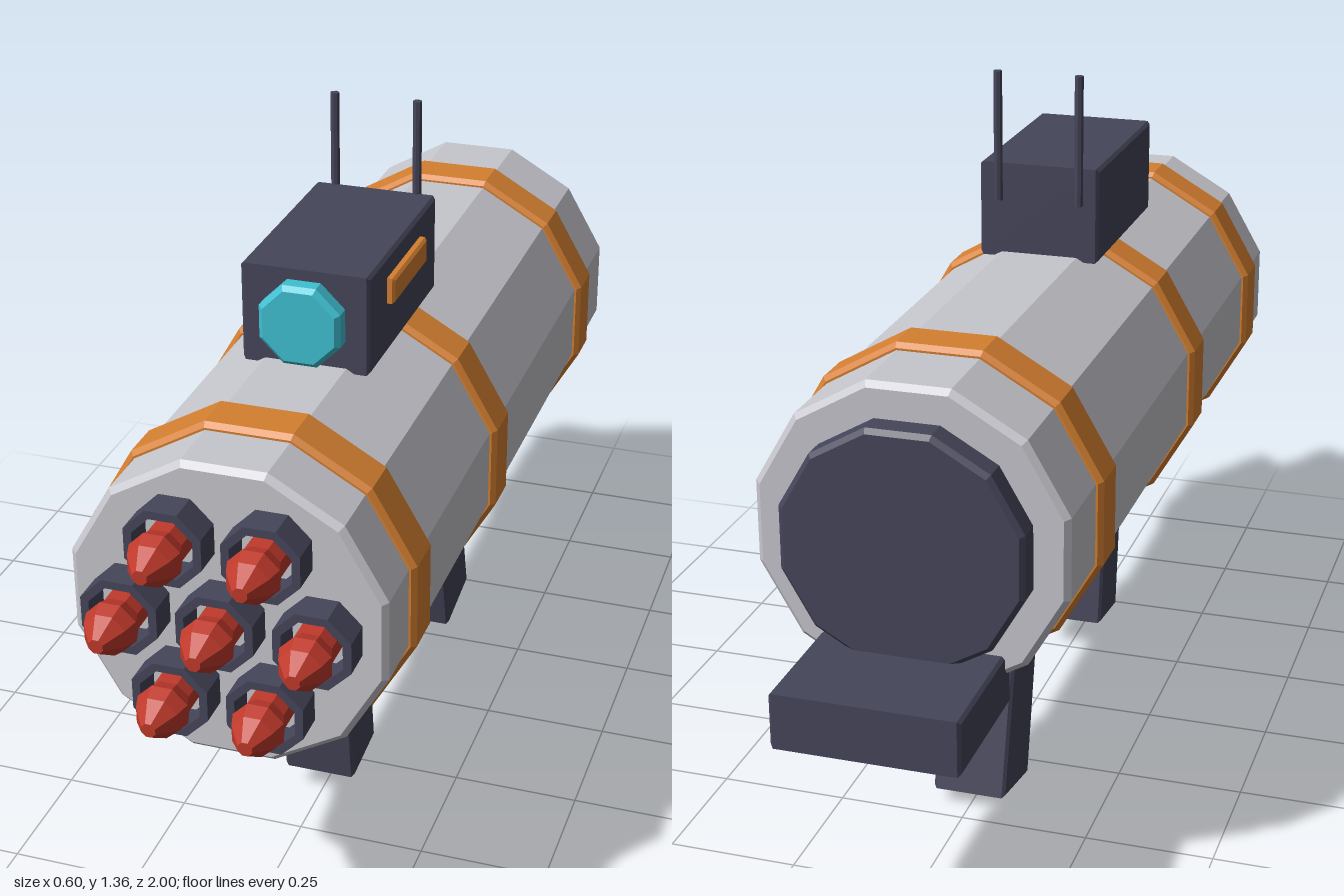
import * as THREE from 'three';

const mat = (name, color) => {
  const m = new THREE.MeshStandardMaterial({ color });
  m.name = name;
  return m;
};

export function createModel() {
  const grey = mat('light grey shell', 0xc6c6cd);
  const dark = mat('dark slate', 0x45455a);
  const orange = mat('orange trim', 0xd47f30);
  const red = mat('red warhead', 0xc0392b);
  const cyan = mat('cyan lens', 0x3fc0d2);

  const model = new THREE.Group();
  model.name = 'rocketLauncher';
  const AXIS = 0.705; // height of the barrel axis

  const add = (name, geometry, material, x = 0, y = 0, z = 0) => {
    const flat = geometry.index ? geometry.toNonIndexed() : geometry;
    flat.computeVertexNormals(); // faceted look
    const mesh = new THREE.Mesh(flat, material);
    mesh.name = name;
    mesh.position.set(x, y, z);
    model.add(mesh);
    return mesh;
  };

  // Faceted turning around z from [apothem, z] pairs, with a flat side on top
  const turned = (profile, sides) => {
    const k = 1 / Math.cos(Math.PI / sides);
    const points = profile.map(([r, z]) => new THREE.Vector2(r * k, z));
    return new THREE.LatheGeometry(points, sides, Math.PI / sides).rotateX(Math.PI / 2);
  };

  // Chamfered disc or drum between two z positions
  const drum = (r, z0, z1, c, sides) => turned(
    [[0, z0], [r - c, z0], [r, z0 + c], [r, z1 - c], [r - c, z1], [0, z1]], sides);

  // Side outline of [z, y] corners, extruded across x with a small chamfer
  const slab = (corners, width, c = 0.006) => {
    const shape = new THREE.Shape(corners.map(([z, y]) => new THREE.Vector2(z, y)));
    const geometry = new THREE.ExtrudeGeometry(shape, {
      depth: width - 2 * c, bevelEnabled: true, bevelSegments: 1,
      bevelSize: c, bevelThickness: c, bevelOffset: -c,
    });
    return geometry.translate(0, 0, c - width / 2).rotateY(-Math.PI / 2);
  };
  const block = (z0, z1, y0, y1, width, c) =>
    slab([[z0, y0], [z1, y0], [z1, y1], [z0, y1]], width, c);

  // Barrel, bands and rear cap
  add('barrel', drum(0.289, -0.757, 0.845, 0.011, 12), grey, 0, AXIS);
  for (const z of [0.677, 0.153, -0.547]) {
    add('barrelBand', drum(0.302, z - 0.048, z + 0.048, 0.009, 12), orange, 0, AXIS);
  }
  add('rearCap', drum(0.224, -0.81, -0.74, 0.009, 12), dark, 0, AXIS);
  add('rearRest', block(-1, -0.725, 0.403, 0.508, 0.344), dark);

  // Seven launch tubes: one in the middle, six around it
  const tube = turned([[0.07, 0.82], [0.07, 0.905], [0.055, 0.905], [0.055, 0.82]], 8);
  const warhead = turned(
    [[0.036, 0.82], [0.036, 0.905], [0.046, 0.935], [0.038, 0.962], [0.013, 1], [0, 1]], 8);
  for (let i = 0; i < 7; i++) {
    const r = i === 6 ? 0 : 0.175;
    const a = i * Math.PI / 3;
    const x = r * Math.cos(a), y = AXIS + r * Math.sin(a);
    add('launchTube', tube, dark, x, y);
    add('warhead', warhead, red, x, y);
  }

  // Sight box with lens, side tag and two antennas
  add('sightBox', block(0.015, 0.427, 0.985, 1.177, 0.244), dark);
  add('sightLens', drum(0.077, 0.42, 0.465, 0.009, 8), cyan, 0, 1.08);
  add('sideTag', block(0.12, 0.325, 1.085, 1.135, 0.03, 0.005), orange, 0.122);
  for (const side of [-1, 1]) {
    add('antenna', new THREE.CylinderGeometry(0.009, 0.009, 0.26, 8), dark,
      side * 0.0825, 1.232, 0.011);
  }

  // Underside rail and slanted grips
  add('rail', block(-0.475, 0.495, 0.368, 0.452, 0.274), dark);
  add('frontGrip', slab([[0.384, 0.054], [0.247, 0.07], [0.29, 0.4], [0.426, 0.4]], 0.146), dark);
  add('rearGrip', slab([[-0.3, 0], [-0.458, 0.03], [-0.36, 0.4], [-0.21, 0.4]], 0.146), dark);

  // Trigger and its guard
  add('trigger', slab(
    [[-0.123, 0.25], [-0.165, 0.26], [-0.19, 0.372], [-0.148, 0.372]], 0.036, 0.004), orange);
  const guardPath = new THREE.CurvePath();
  const bends = [[-0.047, 0.38], [-0.055, 0.342], [-0.145, 0.277], [-0.26, 0.29]]
    .map(([z, y]) => new THREE.Vector3(0, y, z));
  for (let i = 0; i < 3; i++) guardPath.add(new THREE.LineCurve3(bends[i], bends[i + 1]));
  add('triggerGuard', new THREE.TubeGeometry(guardPath, 24, 0.01, 6), dark);

  return model;
}
